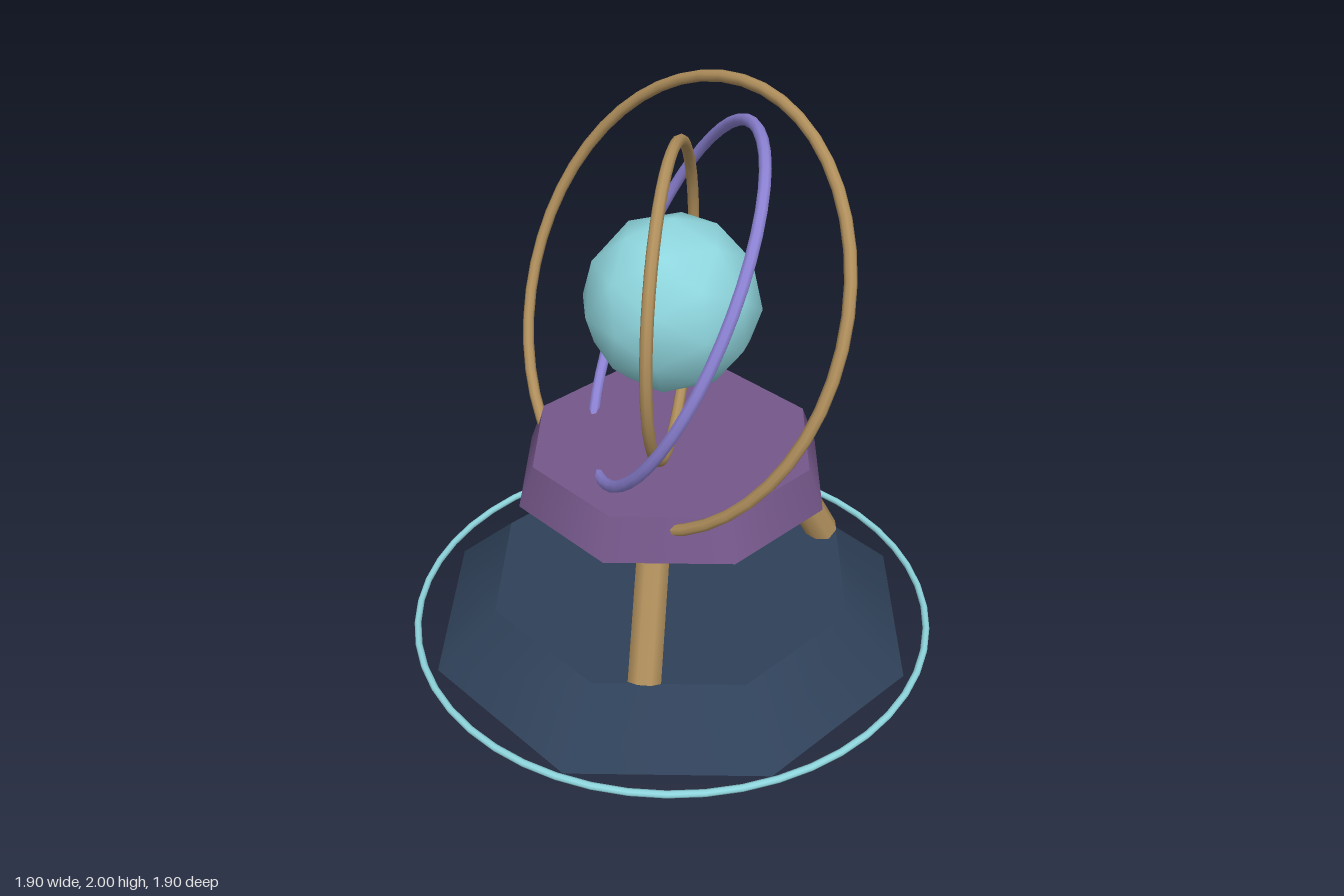
import * as THREE from 'three';

const material = (name, color) => {
  const m = new THREE.MeshStandardMaterial({ color });
  m.name = name;
  return m;
};

export function createModel() {
  const model = new THREE.Group();
  model.name = 'armillaryOrb';

  const navy = material('navy', 0x2f4159);
  const plum = material('plum', 0x75578a);
  const bronze = material('bronze', 0xb08f5c);
  const aqua = material('aqua', 0x8fd6de);
  const violet = material('violet', 0x8c82d4);

  const add = (name, geometry, mat, y = 0) => {
    const mesh = new THREE.Mesh(geometry, mat);
    mesh.name = name;
    mesh.position.y = y;
    model.add(mesh);
    return mesh;
  };

  // Octagonal plinth with a thin hoop around its foot
  add('base', new THREE.CylinderGeometry(0.67, 0.893, 0.205, 8), navy, 0.1025);
  add('baseHoop', new THREE.TorusGeometry(0.938, 0.0125, 8, 48), aqua, 0.031).rotation.x = Math.PI / 2;

  // Three splayed legs
  const up = new THREE.Vector3(0, 1, 0);
  for (let i = 0; i < 3; i++) {
    const a = (i * Math.PI * 2) / 3;
    const at = (r, y) => new THREE.Vector3(r * Math.cos(a), y, r * Math.sin(a));
    const foot = at(0.613, 0.207), top = at(0.355, 0.7);
    const leg = add('leg' + (i + 1), new THREE.CylinderGeometry(0.058, 0.06, foot.distanceTo(top), 8), bronze);
    leg.position.copy(foot).lerp(top, 0.5);
    leg.quaternion.setFromUnitVectors(up, top.sub(foot).normalize());
  }

  // Octagonal table
  add('table', new THREE.CylinderGeometry(0.503, 0.558, 0.148, 8), plum, 0.702);

  // Floating orb
  const centre = 1.307;
  add('orb', new THREE.IcosahedronGeometry(0.3, 1), aqua, centre);

  // Three nested rings, each turned a further 60 degrees
  [bronze, violet, bronze].forEach((mat, i) => {
    const ring = add('ring' + (i + 1), new THREE.TorusGeometry(0.525 + i * 0.111, 0.02, 8, 48), mat, centre);
    ring.rotation.set((i * Math.PI) / 3, Math.PI / 3, 0);
  });

  return model;
}
